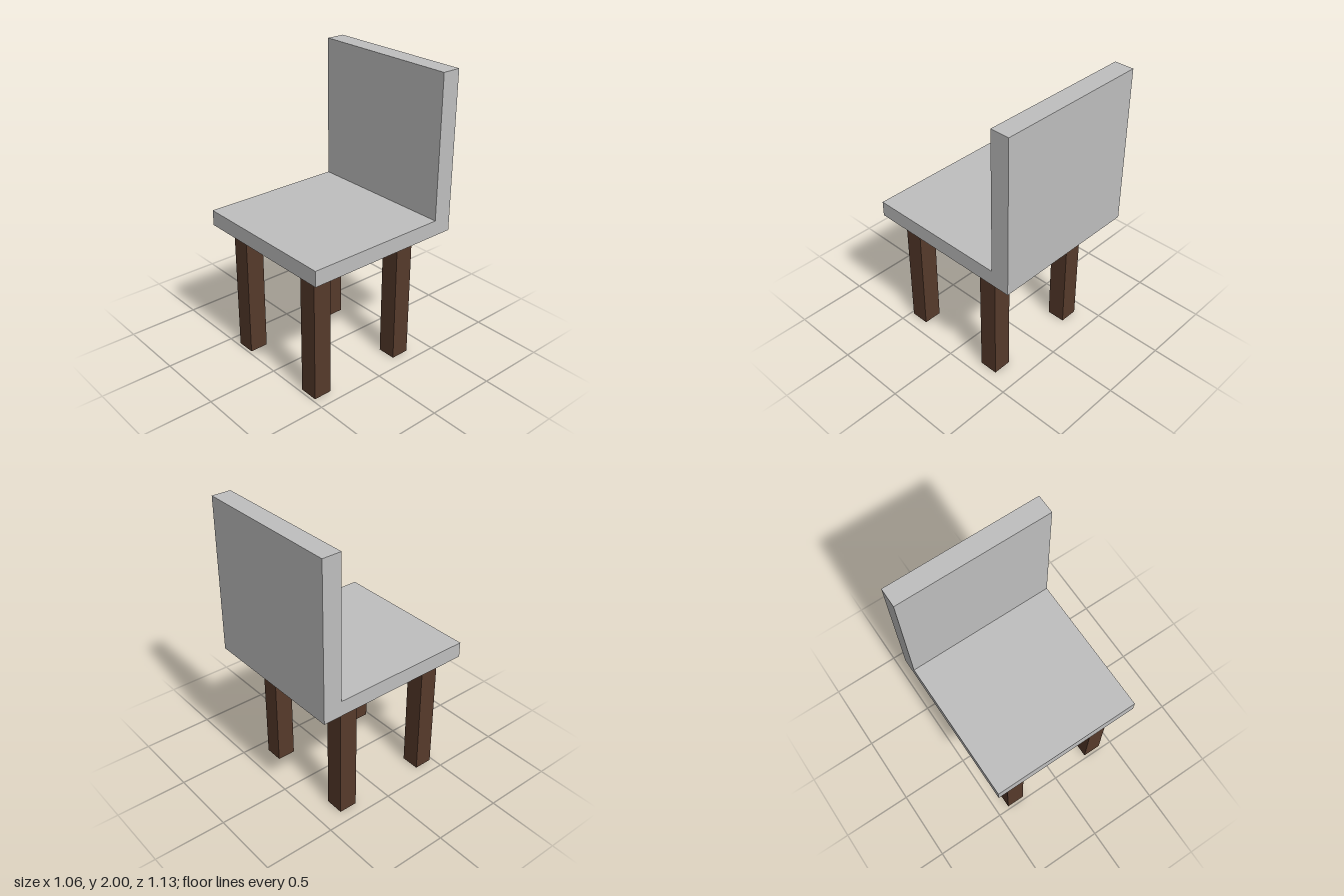
import * as THREE from 'three';

export function createModel() {
  const chair = new THREE.Group();
  chair.name = 'chair';

  const grey = new THREE.MeshStandardMaterial({ color: 0xbfbfbf });
  grey.name = 'light grey';
  const brown = new THREE.MeshStandardMaterial({ color: 0x563a2b });
  brown.name = 'dark brown';

  // Seat and backrest: one L-shaped side profile, extruded across the width
  const width = 1.056;
  const profile = new THREE.Shape([
    [-0.563, 0.915], [0.563, 0.915], [0.563, 1.022],
    [-0.432, 1.022], [-0.432, 2], [-0.563, 2],
  ].map(([z, y]) => new THREE.Vector2(-z, y)));
  const shell = new THREE.ExtrudeGeometry(profile, { depth: width, bevelEnabled: false });
  shell.translate(0, 0, -width / 2).rotateY(Math.PI / 2); // profile x becomes -z
  const seat = new THREE.Mesh(shell, grey);
  seat.name = 'seatAndBackrest';
  chair.add(seat);

  // Four square legs, set forward under the seat
  const legHeight = 0.915;
  const legGeometry = new THREE.BoxGeometry(0.131, legHeight, 0.131);
  for (const [end, z] of [['front', 0.414], ['back', -0.279]]) {
    for (const [side, x] of [['Left', 0.346], ['Right', -0.346]]) {
      const leg = new THREE.Mesh(legGeometry, brown);
      leg.name = `${end}${side}Leg`;
      leg.position.set(x, legHeight / 2, z);
      chair.add(leg);
    }
  }

  return chair;
}
